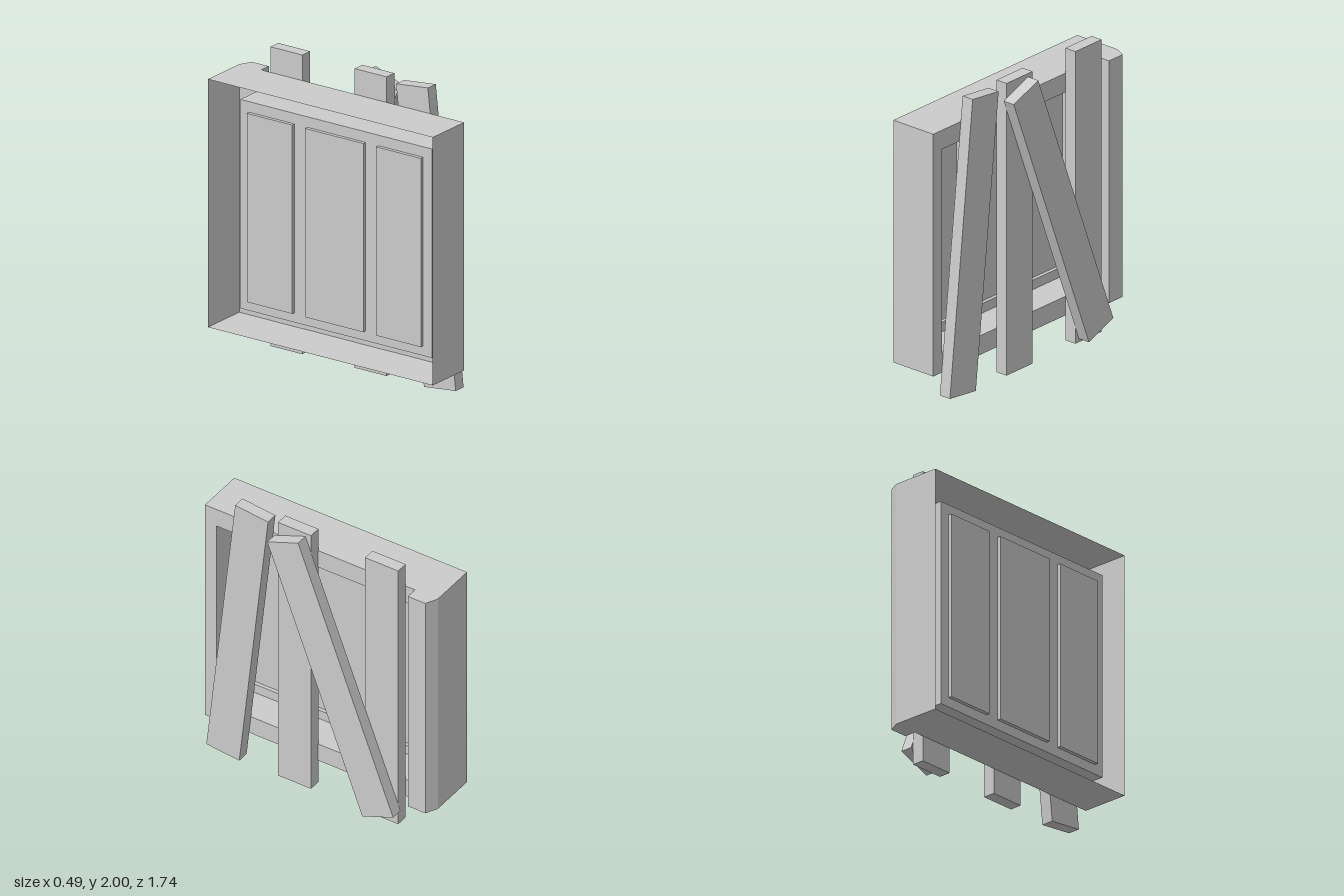
import * as THREE from 'three';

const grey = new THREE.MeshStandardMaterial({ color: 0xcccccc, flatShading: true, side: THREE.DoubleSide });

// Rectangles are [zMin, zMax, yMin, yMax]
const OUTER = [-0.87, 0.87, 0.18, 1.83];
const OPENING = [-0.70, 0.785, 0.31, 1.70];
const PANES = [[0.37, 0.715], [-0.18, 0.27], [-0.63, -0.28]].map(([a, b]) => [a, b, 0.375, 1.63]);
const SASH_X = -0.14, PANE_X = -0.165;

const corners = ([z0, z1, y0, y1]) => [[z0, y0], [z0, y1], [z1, y1], [z1, y0]];

// Skin through a series of rectangles, each at its own x
function loft(sections) {
  const pos = [];
  for (let s = 0; s < sections.length - 1; s++) {
    const [xa, ra] = sections[s], [xb, rb] = sections[s + 1];
    const a = corners(ra).map(([z, y]) => [xa, y, z]);
    const b = corners(rb).map(([z, y]) => [xb, y, z]);
    for (let i = 0; i < 4; i++) {
      const j = (i + 1) % 4;
      pos.push(...a[i], ...b[i], ...b[j], ...a[i], ...b[j], ...a[j]);
    }
  }
  const geo = new THREE.BufferGeometry();
  geo.setAttribute('position', new THREE.Float32BufferAttribute(pos, 3));
  geo.computeVertexNormals();
  return geo;
}

// Flat sheet across x, with optional rectangular holes
function sheet(x, rect, holes = []) {
  const points = (r) => corners(r).map(([z, y]) => new THREE.Vector2(z, y));
  const shape = new THREE.Shape(points(rect));
  shape.holes = holes.map((h) => new THREE.Path(points(h)));
  return new THREE.ShapeGeometry(shape).rotateY(-Math.PI / 2).translate(x, 0, 0);
}

export function createModel() {
  const group = new THREE.Group();
  const add = (name, geo, parent = group) => {
    const mesh = new THREE.Mesh(geo, grey);
    mesh.name = name;
    parent.add(mesh);
    return mesh;
  };

  // Frame: open-backed shell with a deep window opening
  add('windowFrame', loft([[-0.25, OUTER], [0.08, OUTER], [0.08, OPENING], [SASH_X, OPENING]]));

  // Thicker jamb with a chamfered edge on one side
  const jamb = new THREE.Shape([[0.08, 0.87], [0.16, 0.83], [0.16, 0.70], [0.08, 0.70]]
    .map(([x, y]) => new THREE.Vector2(x, y)));
  add('chamferedJamb', new THREE.ExtrudeGeometry(jamb, { depth: 1.65, bevelEnabled: false })
    .rotateX(-Math.PI / 2).translate(0, 0.18, 0));

  // Sash with three panes set into it
  const sash = new THREE.Group();
  sash.name = 'sash';
  group.add(sash);
  add('sashBars', sheet(SASH_X, OPENING, PANES), sash);
  PANES.forEach((r) => {
    add('paneEdge', loft([[SASH_X, r], [PANE_X, r]]), sash);
    add('pane', sheet(PANE_X, r), sash);
  });

  // Boards nailed over the window: [name, x, y, z, length, tilt]
  [
    ['leaningBoard', 0.12, 1.0, 0.575, 1.98, -0.109],
    ['middleBoard', 0.12, 1.005, 0.147, 1.99, 0],
    ['sideBoard', 0.12, 1.005, -0.505, 1.99, 0],
    ['diagonalBoard', 0.203, 1.005, -0.175, 1.987, 0.366],
  ].forEach(([name, x, y, z, length, tilt]) => {
    const board = add(name, new THREE.BoxGeometry(0.083, length, 0.247));
    board.position.set(x, y, z);
    board.rotation.x = tilt;
  });

  return group;
}
